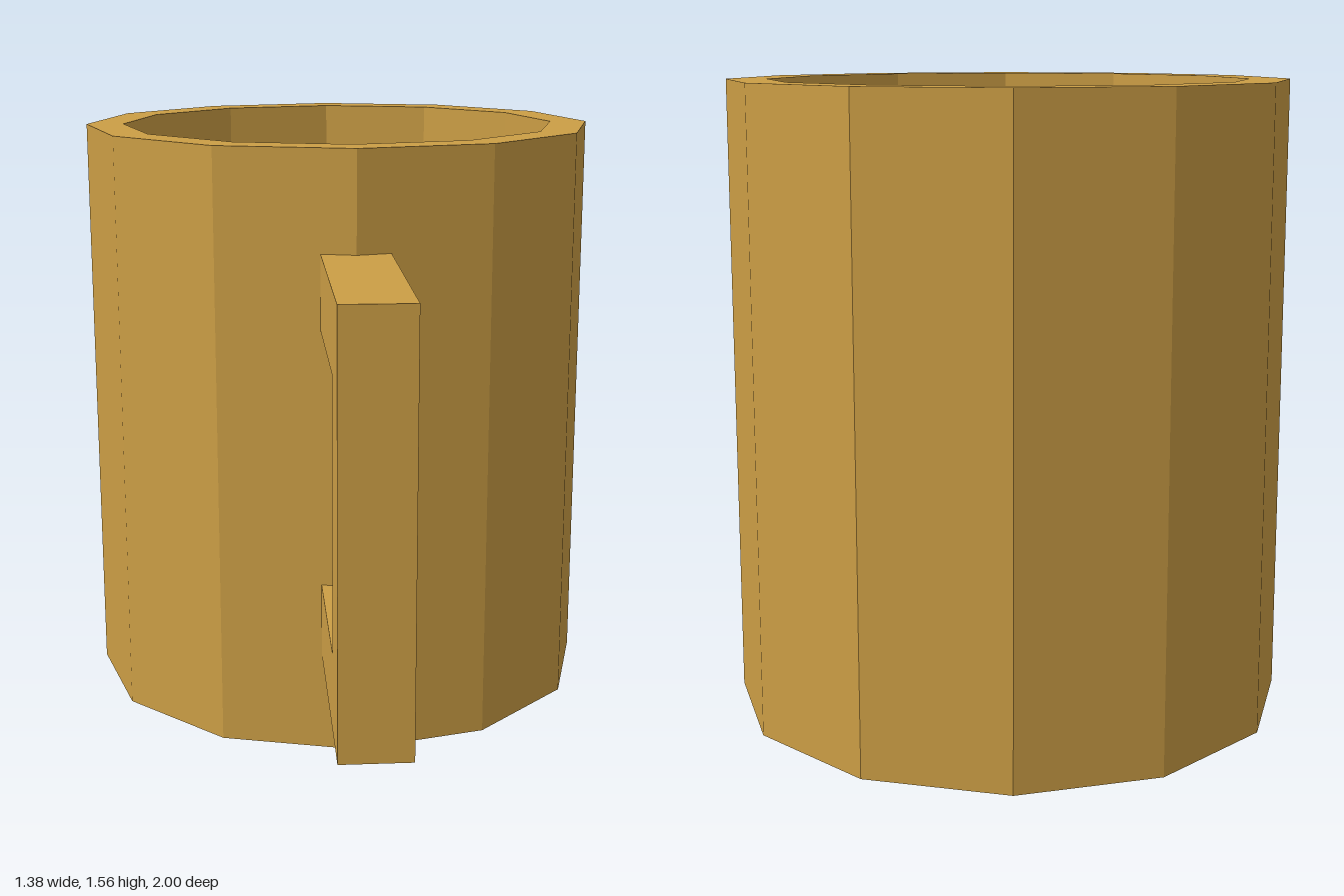
import * as THREE from 'three';

export function createModel() {
  const group = new THREE.Group();
  const ochre = new THREE.MeshStandardMaterial({ color: 0xcc9e45, flatShading: true });
  ochre.name = 'ochre';

  // Hollow twelve-sided cup: underside, outer wall, rim, inner wall, floor
  const outer = 0.692, inner = 0.592, height = 1.56, floor = 0.1;
  const profile = [[0, 0], [outer, 0], [outer, height], [inner, height], [inner, floor], [0, floor]]
    .map(([r, y]) => new THREE.Vector2(r, y));
  const cup = new THREE.Mesh(new THREE.LatheGeometry(profile, 12), ochre);
  cup.name = 'cup';
  cup.position.z = -0.308;
  group.add(cup);

  // Square C-shaped handle, drawn as (z, y) and extruded across x
  const width = 0.174;
  const shape = new THREE.Shape([
    [0.33, 0.26], [1, 0.26], [1, 1.303], [0.33, 1.303],
    [0.33, 1.113], [0.82, 1.113], [0.82, 0.45], [0.33, 0.45],
  ].map(([z, y]) => new THREE.Vector2(z, y)));
  const handleGeometry = new THREE.ExtrudeGeometry(shape, { depth: width, bevelEnabled: false });
  handleGeometry.translate(0, 0, -width / 2).rotateY(-Math.PI / 2);
  const handle = new THREE.Mesh(handleGeometry, ochre);
  handle.name = 'handle';
  group.add(handle);

  return group;
}
